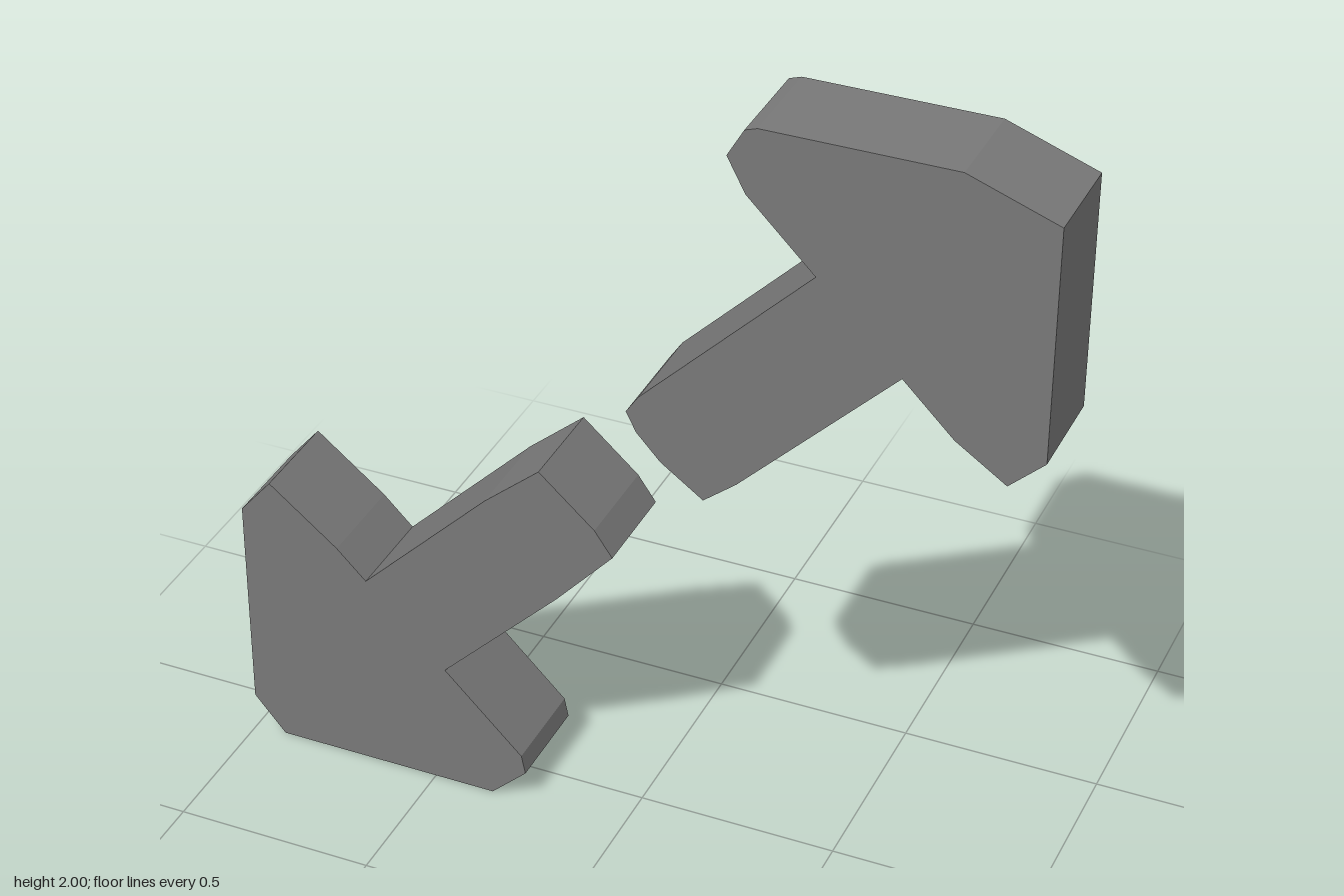
import * as THREE from 'three';

const DEPTH = 0.25;

// Arrow outlines, clockwise or anticlockwise, in the x-y plane
const upper = [
  [0.32, 2], [0.78, 2], [1, 1.92], [1, 1.335], [0.915, 1.255], [0.79, 1.34], // head
  [0.665, 1.465], [0.285, 1.085], [0.205, 1.02], [0.1, 1.095], [0.04, 1.16], // shaft
  [0.015, 1.21], [0.045, 1.255], [0.46, 1.67], [0.295, 1.835], [0.25, 1.92], [0.29, 1.99],
];
const lower = [
  [-0.92, 0], [-0.345, 0], [-0.255, 0.085], [-0.265, 0.135], // head
  [-0.465, 0.335], [-0.165, 0.635], [-0.02, 0.795], [-0.065, 0.86], // shaft
  [-0.205, 0.985], [-0.345, 0.865], [-0.67, 0.54], [-0.745, 0.615],
  [-0.92, 0.755], [-1, 0.66], [-1, 0.095],
];

// Flat slab of even thickness, centred on z = 0
function slab(name, outline, material) {
  const shape = new THREE.Shape(outline.map(([x, y]) => new THREE.Vector2(x, y)));
  const geometry = new THREE.ExtrudeGeometry(shape, { depth: DEPTH, bevelEnabled: false });
  geometry.translate(0, 0, -DEPTH / 2);
  const mesh = new THREE.Mesh(geometry, material);
  mesh.name = name;
  return mesh;
}

export function createModel() {
  const grey = new THREE.MeshStandardMaterial({ color: 0x787878 });
  grey.name = 'grey';
  const group = new THREE.Group();
  group.name = 'doubleArrow';
  group.add(slab('upperArrow', upper, grey), slab('lowerArrow', lower, grey));
  return group;
}
